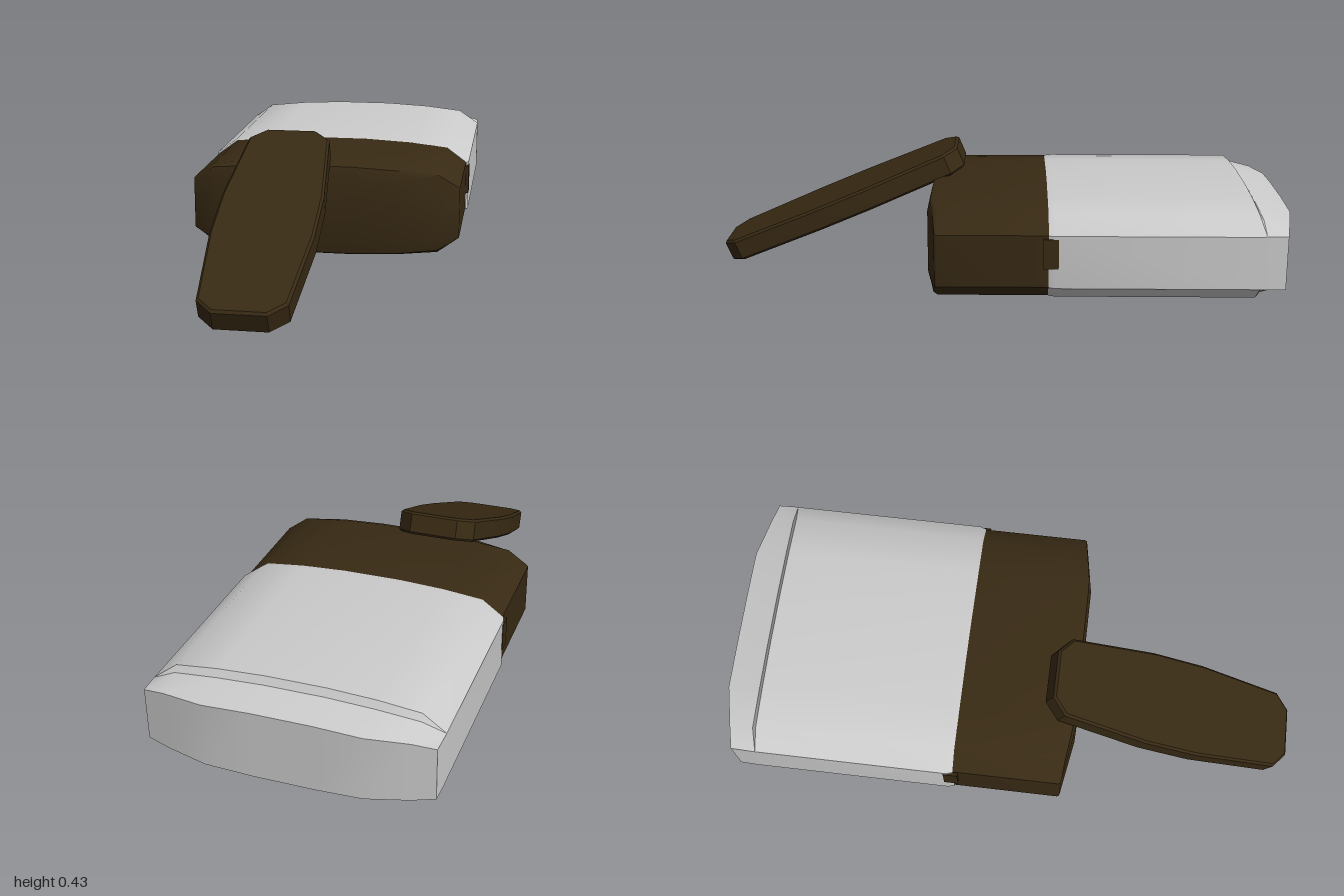
import * as THREE from 'three';
import { toCreasedNormals } from 'three/addons/utils/BufferGeometryUtils.js';

const MID = 0.177;
const XS = [-0.475, -0.4, -0.26, -0.1, 0.1, 0.26, 0.4, 0.475];
const FULL = [0.09, 0.145, 0.16, 0.168, 0.168, 0.16, 0.145, 0.09]; // half heights
const END = [0.088, 0.1, 0.108, 0.114, 0.114, 0.108, 0.1, 0.088];

// One ring: across the top from left to right, then back along the bottom.
// bow pulls the outer points back from the end face.
function ring(z, heights, sx = 1, sy = 1, bow = 0) {
  const pts = XS.map((x, i) => [
    x * sx,
    heights[i] * sy,
    z - bow * Math.max(0, (Math.abs(x) - 0.26) / 0.215),
  ]);
  return [
    ...pts.map(([x, h, pz]) => [x, MID + h, pz]),
    ...pts.slice().reverse().map(([x, h, pz]) => [x, MID - h, pz]),
  ];
}

// Skin rings ordered from front to back and close both ends.
function loft(rings, crease) {
  const n = XS.length * 2;
  const index = [];
  const quad = (a, b, c, d) => index.push(a, b, c, a, c, d);
  for (let r = 0; r < rings.length - 1; r++) {
    for (let i = 0; i < n; i++) {
      const j = (i + 1) % n;
      quad(r * n + i, r * n + j, (r + 1) * n + j, (r + 1) * n + i);
    }
  }
  const last = (rings.length - 1) * n;
  for (let i = 0; i < XS.length - 1; i++) {
    const low = n - 1 - i;
    quad(low, low - 1, i + 1, i);
    quad(last + i, last + i + 1, last + low - 1, last + low);
  }
  const geometry = new THREE.BufferGeometry();
  geometry.setAttribute('position', new THREE.Float32BufferAttribute(rings.flat(2), 3));
  geometry.setIndex(index);
  return toCreasedNormals(geometry, crease);
}

export function createModel() {
  const model = new THREE.Group();
  const grey = new THREE.MeshStandardMaterial({ color: 0xcccccc });
  const brown = new THREE.MeshStandardMaterial({ color: 0x382a14 });
  const add = (name, geometry, material) => {
    const mesh = new THREE.Mesh(geometry, material);
    mesh.name = name;
    model.add(mesh);
    return mesh;
  };

  // Dark front block with a rounded front rim
  const mixed = END.map((h, i) => h + (FULL[i] - h) * 0.75);
  add('frontBlock', loft([
    ring(0.232, END, 0.97, 1, 0.034),
    ring(0.222, mixed, 0.975, 1, 0.026),
    ring(0.19, FULL, 0.98, 0.99),
    ring(-0.21, FULL, 0.98, 0.985),
  ], 0.75), brown);

  // Grey rear block, stepping down to a chamfered back
  const step = FULL.map((h, i) => (h + END[i] * 1.05) / 2);
  add('rearBlock', loft([
    ring(-0.178, FULL, 0.985, 0.985),
    ring(-0.2, FULL),
    ring(-0.87, FULL),
    ring(-0.885, step),
    ring(-1, END, 0.995, 1.03, -0.045),
  ], 0.6), grey);

  // Small tabs lapping over the joint on both sides
  for (const side of [-1, 1]) {
    const tab = add(side > 0 ? 'leftTab' : 'rightTab', new THREE.BoxGeometry(0.02, 0.1, 0.05), brown);
    tab.position.set(side * 0.467, 0.205, -0.186);
  }

  // Tilted handle with clipped corners
  const half = [[0.085, 0.465], [0.14, 0.415], [0.168, 0.1], [0.168, -0.1], [0.14, -0.415], [0.085, -0.465]];
  const outline = [...half, ...half.slice().reverse().map(([x, y]) => [-x, y])];
  const shape = new THREE.Shape(outline.map(([x, y]) => new THREE.Vector2(x, y)));
  const bevel = 0.008;
  const handleGeometry = new THREE.ExtrudeGeometry(shape, {
    depth: 0.08 - 2 * bevel,
    bevelThickness: bevel,
    bevelSize: bevel,
    bevelOffset: -bevel,
    bevelSegments: 1,
  });
  handleGeometry.translate(0, 0, bevel - 0.04);
  const handle = add('handle', toCreasedNormals(handleGeometry, 0.5), brown);
  handle.position.set(-0.125, 0.222, 0.557);
  handle.rotation.x = -1.17;

  return model;
}
